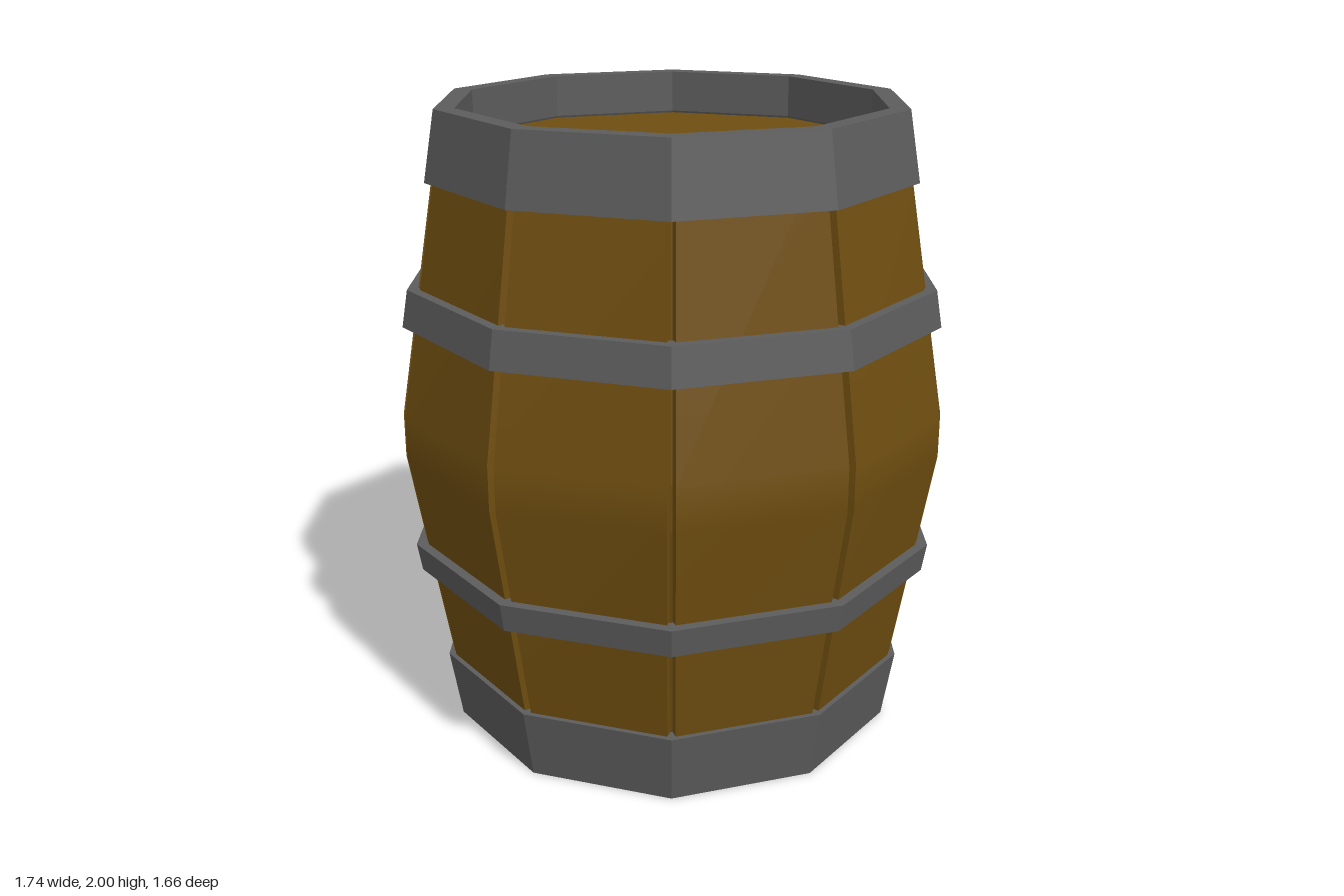
import * as THREE from 'three';

const SIDES = 10;
const HALF = Math.PI / SIDES;
const wood = new THREE.MeshStandardMaterial({ color: 0x6f4e10 });
const woodFlat = new THREE.MeshStandardMaterial({ color: 0x6f4e10, flatShading: true });
const iron = new THREE.MeshStandardMaterial({ color: 0x5c5c5c, flatShading: true });

// Corner radius of the staves at a height: straight slopes with a flat belly
const BELLY = 0.873;
const radiusAt = (y) => BELLY - 0.17 * Math.max(0, Math.abs(y - 1) - 0.07);

function mesh(name, geometry, material) {
  const m = new THREE.Mesh(geometry, material);
  m.name = name;
  return m;
}

// Ten-sided ring with a corner on the x axis
function ring(name, profile, material) {
  const points = profile.map(([r, y]) => new THREE.Vector2(r, y));
  return mesh(name, new THREE.LatheGeometry(points, SIDES, Math.PI / 2), material);
}

// One bent plank, flat across its width, with a small gap to its neighbours
function staveGeometry() {
  const levels = [0.05, 0.93, 1.07, 1.95];
  const thickness = 0.035, gap = 0.013;
  const g = new THREE.BoxGeometry(2, 3, 2, 1, 3, 1);
  const p = g.attributes.position;
  for (let i = 0; i < p.count; i++) {
    const y = levels[Math.round(p.getY(i) + 1.5)];
    const r = radiusAt(y);
    const halfWidth = r * Math.sin(HALF) - gap;
    const z = r * Math.cos(HALF) - (p.getZ(i) < 0 ? thickness : 0);
    p.setXYZ(i, Math.sign(p.getX(i)) * halfWidth, y, z);
  }
  g.computeVertexNormals();
  return g;
}

export function createModel() {
  const barrel = new THREE.Group();
  barrel.name = 'barrel';

  // Staves
  const staves = new THREE.Group();
  staves.name = 'staves';
  const plank = staveGeometry();
  for (let i = 0; i < SIDES; i++) {
    const s = mesh('stave', plank, wood);
    s.rotation.y = i * 2 * HALF;
    staves.add(s);
  }
  barrel.add(staves);

  // Inner wall seen through the gaps
  barrel.add(ring('innerWall',
    [0.15, 0.93, 1.07, 1.85].map((y) => [radiusAt(y) - 0.03, y]), woodFlat));

  // Recessed end boards
  for (const [name, y] of [['bottomBoard', 0.155], ['topBoard', 1.845]]) {
    const board = mesh(name,
      new THREE.CylinderGeometry(0.69, 0.69, 0.03, SIDES, 1, false, Math.PI / 2), woodFlat);
    board.position.y = y;
    barrel.add(board);
  }

  // Wide end hoops forming the rims
  const rim = [[0.67, 0], [0.733, 0], [0.77, 0.225], [0.71, 0.225], [0.67, 0.14], [0.67, 0]];
  barrel.add(ring('bottomHoop', rim, iron));
  barrel.add(ring('topHoop', rim.map(([r, y]) => [r, 2 - y * 0.955]).reverse(), iron));

  // Narrow hoops following the slope of the staves
  for (const [name, y0, y1] of [['lowerHoop', 0.54, 0.63], ['upperHoop', 1.35, 1.465]]) {
    const a = radiusAt(y0), b = radiusAt(y1), out = 0.033, sink = 0.02;
    barrel.add(ring(name,
      [[a - sink, y0], [a + out, y0], [b + out, y1], [b - sink, y1], [a - sink, y0]], iron));
  }
  return barrel;
}
